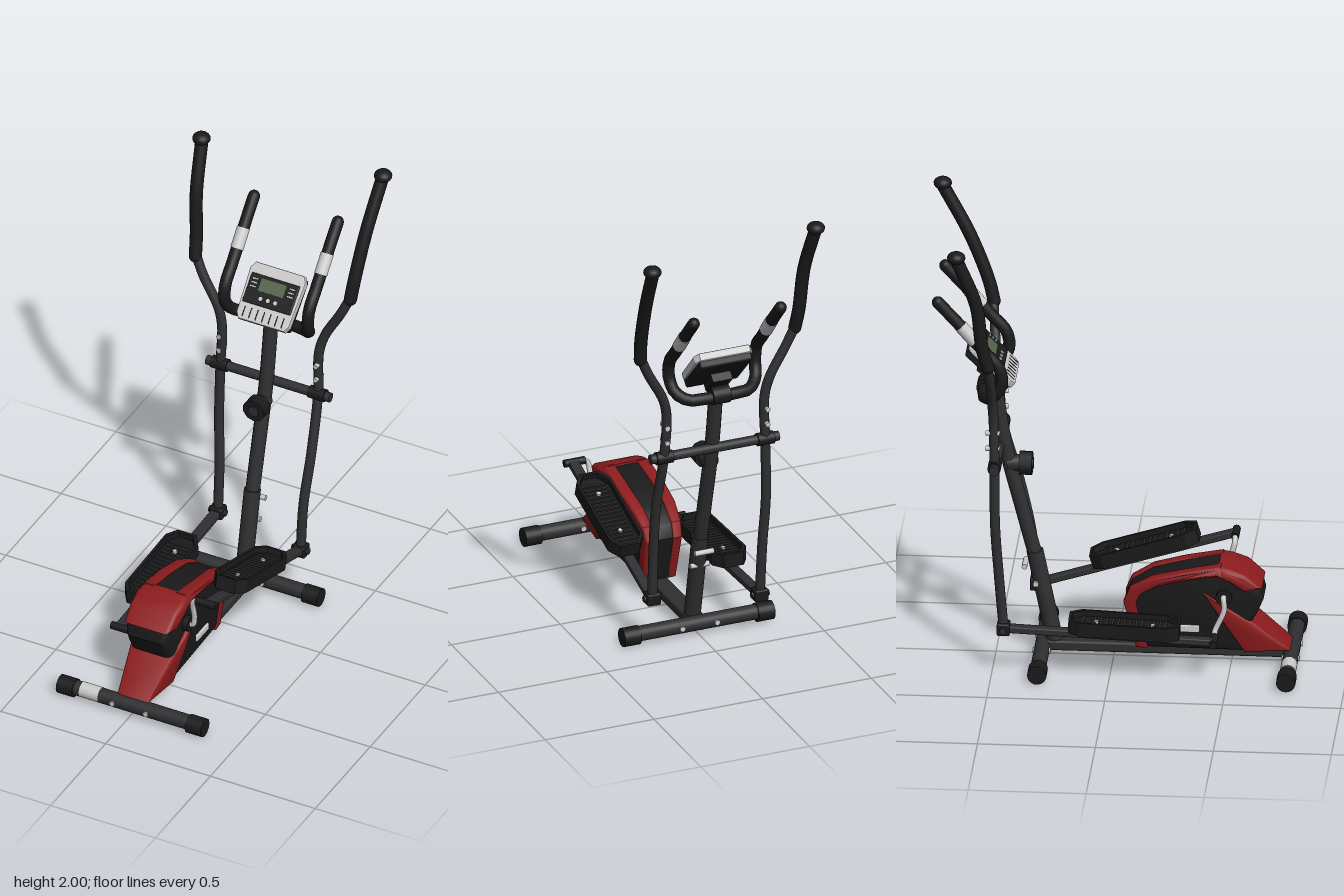
import * as THREE from 'three';
import { toCreasedNormals, mergeGeometries } from 'three/addons/utils/BufferGeometryUtils.js';
import { RoundedBoxGeometry } from 'three/addons/geometries/RoundedBoxGeometry.js';

const paint = (color) => new THREE.MeshStandardMaterial({ color });
const DARK = paint(0x2f2f31), BLACK = paint(0x1a1a1b), RED = paint(0x8c1b1d);
const SILVER = paint(0xcccccc), LCD = paint(0x55634a);
const V = (p) => new THREE.Vector3(...p);

function add(parent, name, geo, mat, pos = [0, 0, 0]) {
  const m = new THREE.Mesh(geo, mat);
  m.name = name;
  m.position.set(...pos);
  parent.add(m);
  return m;
}

// Bent tube with rounded ends
function tube(parent, name, pts, r, mat) {
  const v = pts.map(V);
  const path = new THREE.CatmullRomCurve3(v);
  const ends = [v[0], v[v.length - 1]].map((p) => new THREE.SphereGeometry(r, 16, 10).translate(p.x, p.y, p.z));
  return add(parent, name, mergeGeometries([new THREE.TubeGeometry(path, 48, r, 16), ...ends]), mat);
}

// Straight cylinder between two points
function rod(parent, name, a, b, r, mat, sides = 24, r2 = r) {
  const va = V(a), dir = V(b).sub(va), len = dir.length();
  const m = add(parent, name, new THREE.CylinderGeometry(r2, r, len, sides), mat);
  m.quaternion.setFromUnitVectors(new THREE.Vector3(0, 1, 0), dir.normalize());
  m.position.copy(va).lerp(V(b), 0.5);
  return m;
}

const shapeOf = (pts) => new THREE.Shape(pts.map((p) => new THREE.Vector2(...p)));

function lookup(table, t) {
  for (let i = 1; i < table.length; i++) {
    const [a, u] = table[i - 1], [b, v] = table[i];
    if (t <= b) return THREE.MathUtils.lerp(u, v, Math.max(0, (t - a) / (b - a)));
  }
  return table[table.length - 1][1];
}
const WIDTH_Z = [[0.05, 0.085], [0.2, 0.1], [0.5, 0.12], [0.63, 0.1], [0.76, 0.085]];
const WIDTH_Y = [[0.07, 0.82], [0.2, 0.9], [0.38, 1], [0.43, 0.95], [0.46, 0.82]];

// Side profile (z, y) extruded from x0 to x1, then swelled to the housing's width
function shell(parent, name, pts, x0, x1, bevel, mat) {
  const g = new THREE.ExtrudeGeometry(shapeOf(pts), {
    depth: x1 - x0 - 2 * bevel, bevelThickness: bevel, bevelSize: bevel, bevelOffset: -bevel, bevelSegments: 3,
  });
  g.translate(0, 0, -x1 + bevel).rotateY(-Math.PI / 2);
  const p = g.attributes.position;
  for (let i = 0; i < p.count; i++)
    p.setX(i, p.getX(i) * 10 * lookup(WIDTH_Z, p.getZ(i)) * lookup(WIDTH_Y, p.getY(i)));
  return add(parent, name, toCreasedNormals(g, 0.6), mat);
}

function makeBase() {
  const g = new THREE.Group();
  g.name = 'base';
  add(g, 'baseBeam', new RoundedBoxGeometry(0.08, 0.045, 1.06, 2, 0.01), DARK, [0, 0.05, 0.23]);
  for (const z of [0.755, -0.3]) {
    rod(g, 'stabilizerBar', [-0.28, 0.045, z], [0.28, 0.045, z], 0.033, DARK);
    for (const s of [-1, 1]) {
      rod(g, 'stabilizerCap', [s * 0.27, 0.041, z], [s * 0.345, 0.041, z], 0.041, BLACK);
      rod(g, 'stabilizerBolt', [s * 0.08, 0.045, z - 0.038], [s * 0.08, 0.045, z + 0.038], 0.012, SILVER, 12);
    }
  }
  rod(g, 'stabilizerLabel', [-0.24, 0.046, 0.755], [-0.15, 0.046, 0.755], 0.034, SILVER);
  return g;
}

function makeHousing() {
  const g = new THREE.Group();
  g.name = 'flywheelHousing';
  shell(g, 'housingCore', [[0.1, 0.07], [0.05, 0.28], [0.075, 0.335], [0.165, 0.39], [0.3, 0.425], [0.455, 0.456],
    [0.56, 0.42], [0.625, 0.365], [0.64, 0.31], [0.615, 0.25], [0.585, 0.2], [0.6, 0.07]], -0.1, 0.1, 0.025, BLACK);
  shell(g, 'tailCover', [[0.755, 0.075], [0.73, 0.1], [0.6, 0.205], [0.5, 0.27], [0.385, 0.345], [0.47, 0.21],
    [0.56, 0.07]], -0.105, 0.105, 0.01, RED);
  shell(g, 'noseCover', [[0.635, 0.365], [0.565, 0.427], [0.5, 0.45], [0.45, 0.462], [0.44, 0.415], [0.5, 0.395],
    [0.56, 0.35]], -0.104, 0.104, 0.016, RED);
  // Side rims, leaving the dark spine between them
  const rim = [[0.1, 0.07], [0.046, 0.28], [0.072, 0.342], [0.165, 0.396], [0.3, 0.43], [0.46, 0.462], [0.48, 0.41],
    [0.44, 0.42], [0.3, 0.392], [0.185, 0.36], [0.12, 0.32], [0.1, 0.28], [0.15, 0.07]];
  for (const [a, b] of [[0.05, 0.105], [-0.105, -0.05]]) shell(g, 'sideRim', rim, a, b, 0.01, RED);
  for (const s of [-1, 1]) {
    add(g, 'sideBadge', new RoundedBoxGeometry(0.012, 0.034, 0.11, 4, 0.006), SILVER, [s * 0.101, 0.175, 0.315]);
    rod(g, 'axleHub', [s * 0.09, 0.33, 0.475], [s * 0.13, 0.33, 0.475], 0.034, BLACK);
  }
  return g;
}

function makeMast() {
  const g = new THREE.Group();
  g.name = 'mast';
  rod(g, 'mastSocket', [0, 0.06, -0.25], [0, 0.47, -0.335], 0.036, DARK);
  tube(g, 'mastTube', [[0, 0.42, -0.325], [0, 0.65, -0.385], [0, 0.95, -0.46], [0, 1.27, -0.51]], 0.031, DARK);
  for (const y of [0.33, 0.41])
    rod(g, 'mastBolt', [-0.043, y, -0.1 - y * 0.6 - 0.03], [0.043, y, -0.13 - y * 0.6], 0.012, SILVER, 12);
  rod(g, 'crossBar', [-0.295, 0.95, -0.485], [0.295, 0.95, -0.485], 0.021, DARK);
  // Tension knob
  rod(g, 'knobStem', [0, 0.87, -0.45], [0, 0.87, -0.37], 0.036, DARK);
  rod(g, 'knobGrip', [0, 0.87, -0.4], [0, 0.87, -0.345], 0.052, BLACK, 10);
  rod(g, 'knobCentre', [0, 0.87, -0.35], [0, 0.87, -0.34], 0.025, DARK);
  // Fixed handlebar with pulse sensors
  const half = [[0.08, 1.22, -0.545], [0.14, 1.222, -0.535], [0.185, 1.25, -0.495], [0.198, 1.31, -0.46],
    [0.2, 1.385, -0.47], [0.2, 1.46, -0.535], [0.2, 1.57, -0.63], [0.2, 1.68, -0.73]];
  const mirrored = half.map(([x, y, z]) => [-x, y, z]).reverse();
  tube(g, 'fixedHandlebar', [...mirrored, ...half], 0.026, BLACK);
  rod(g, 'handlebarClamp', [-0.04, 1.225, -0.54], [0.04, 1.225, -0.54], 0.04, BLACK);
  for (const s of [-1, 1])
    rod(g, 'pulseSensor', [s * 0.2, 1.505, -0.574], [s * 0.2, 1.575, -0.634], 0.0285, SILVER);
  return g;
}

function makeConsole() {
  const g = new THREE.Group();
  g.name = 'console';
  g.position.set(0, 1.35, -0.515);
  g.rotation.x = -Math.PI / 4;
  const face = new THREE.ExtrudeGeometry(shapeOf([[-0.11, -0.125], [0.11, -0.125], [0.125, -0.1], [0.132, 0.1],
    [0.115, 0.128], [-0.115, 0.128], [-0.132, 0.1], [-0.125, -0.1]]),
  { depth: 0.02, bevelThickness: 0.008, bevelSize: 0.006, bevelOffset: -0.006, bevelSegments: 2 });
  add(g, 'consoleShell', face, SILVER);
  add(g, 'consoleBack', new RoundedBoxGeometry(0.24, 0.235, 0.045, 2, 0.01), BLACK, [0, 0, -0.016]);
  add(g, 'consoleMount', new THREE.BoxGeometry(0.09, 0.11, 0.05), BLACK, [0, -0.04, -0.05]);
  add(g, 'consolePanel', new RoundedBoxGeometry(0.23, 0.13, 0.012, 2, 0.005), BLACK, [0, 0.015, 0.027]);
  add(g, 'consoleScreen', new THREE.BoxGeometry(0.12, 0.055, 0.004), LCD, [0, 0.038, 0.033]);
  for (let i = -1; i <= 1; i++) {
    rod(g, 'consoleButton', [i * 0.035, -0.02, 0.03], [i * 0.035, -0.02, 0.037], 0.009, SILVER, 16);
    for (const s of [-1, 1])
      add(g, 'consoleMark', new THREE.BoxGeometry(0.026, 0.005, 0.003), SILVER, [s * 0.088, 0.04 + i * 0.017, 0.033]);
  }
  for (let i = -3; i <= 3; i++)
    add(g, 'consoleRib', new THREE.BoxGeometry(0.004, 0.045, 0.008), BLACK, [i * 0.031, -0.09, 0.026]);
  return g;
}

// Foot plate: local z runs along the plate, y is up, origin at its underside
function makePedal() {
  const g = new THREE.Group();
  g.name = 'pedal';
  const outline = (k) => [[-0.045, -0.235], [0.045, -0.235], [0.078, -0.185], [0.078, 0.185], [0.045, 0.235],
    [-0.045, 0.235], [-0.078, 0.185], [-0.078, -0.185]].map(([x, y]) => [x - Math.sign(x) * k, y - Math.sign(y) * k]);
  const slab = (shape, depth) => new THREE.ExtrudeGeometry(shape, { depth, bevelEnabled: false }).rotateX(-Math.PI / 2);
  add(g, 'pedalPlate', slab(shapeOf(outline(0)), 0.035), BLACK);
  const rim = shapeOf(outline(0));
  rim.holes.push(shapeOf(outline(0.012)));
  add(g, 'pedalRim', slab(rim, 0.062), BLACK);
  for (let i = -7; i <= 7; i++)
    add(g, 'pedalTread', new THREE.BoxGeometry(0.11, 0.008, 0.009), DARK, [0, 0.038, i * 0.025]);
  for (const s of [-1, 1]) rod(g, 'pedalScrew', [0, 0.03, s * 0.12], [0, 0.046, s * 0.12], 0.01, SILVER, 12);
  return g;
}

// One side: crank, foot arm with pedal, and swinging handle
function makeSide(s, d) {
  const g = new THREE.Group();
  g.name = s > 0 ? 'leftDrive' : 'rightDrive';
  const X = s * 0.225, [cy, cz] = d.crank, [jy, jz] = d.joint;
  tube(g, 'crank', [[s * 0.12, 0.33, 0.475], [s * 0.142, 0.335, 0.475], [s * 0.15, 0.33 + (cy - 0.33) * 0.3, 0.478],
    [s * 0.155, cy - (cy - 0.33) * 0.12, cz], [s * 0.175, cy, cz], [s * 0.2, cy, cz]], 0.012, SILVER);
  rod(g, 'crankPin', [s * 0.17, cy, cz], [s * 0.265, cy, cz], 0.017, BLACK);
  // Foot arm
  const len = Math.hypot(cy - jy, cz - jz), tilt = -Math.atan2(cy - jy, cz - jz);
  const arm = new THREE.Group();
  arm.name = 'footArm';
  arm.position.set(X, (cy + jy) / 2, (cz + jz) / 2);
  arm.rotation.x = tilt;
  add(arm, 'armBar', new RoundedBoxGeometry(0.044, 0.03, len, 2, 0.006), DARK);
  const pedal = makePedal();
  pedal.position.set(0, 0.015, d.pedalZ - arm.position.z);
  arm.add(pedal);
  g.add(arm);
  // Joint at the foot of the handle
  add(g, 'armJoint', new RoundedBoxGeometry(0.062, 0.055, 0.055, 2, 0.008), BLACK, [X, jy, jz]);
  rod(g, 'jointPin', [X - 0.04, jy, jz], [X + 0.04, jy, jz], 0.014, DARK);
  // Swinging handle
  const [z1, z2, z3, z4, z5, z6] = d.leverZ;
  tube(g, 'handleTube', [[X, jy, jz], [s * 0.228, 0.45, z1], [s * 0.238, 0.68, z2], [s * 0.233, 0.95, -0.488],
    [s * 0.228, 1.15, z3], [s * 0.25, 1.24, (z3 + z4) / 2], [s * 0.32, 1.37, z4], [s * 0.365, 1.47, z4 - 0.01]], 0.021, DARK);
  tube(g, 'handleGrip', [[s * 0.362, 1.455, z4 - 0.006], [s * 0.37, 1.55, z4 - 0.03], [s * 0.383, 1.75, z5],
    [s * 0.4, 1.965, z6]], 0.028, BLACK);
  const cap = add(g, 'gripCap', new THREE.SphereGeometry(0.039, 20, 12), BLACK, [s * 0.402, 1.973, z6]);
  cap.scale.y = 0.7;
  rod(g, 'pivotSleeve', [s * 0.195, 0.95, -0.487], [s * 0.27, 0.95, -0.487], 0.028, BLACK);
  for (const y of [1.03, 1.1])
    rod(g, 'handleBolt', [s * 0.231, y, -0.465], [s * 0.231, y, -0.525], 0.011, SILVER, 12);
  return g;
}

export function createModel() {
  const model = new THREE.Group();
  model.name = 'ellipticalTrainer';
  model.add(makeBase(), makeHousing(), makeMast(), makeConsole());
  model.add(makeSide(1, { crank: [0.485, 0.5], joint: [0.225, -0.345], pedalZ: 0.13,
    leverZ: [-0.365, -0.415, -0.505, -0.53, -0.64, -0.757] }));
  model.add(makeSide(-1, { crank: [0.17, 0.44], joint: [0.205, -0.45], pedalZ: 0.06,
    leverZ: [-0.47, -0.485, -0.492, -0.5, -0.555, -0.637] }));
  return model;
}
